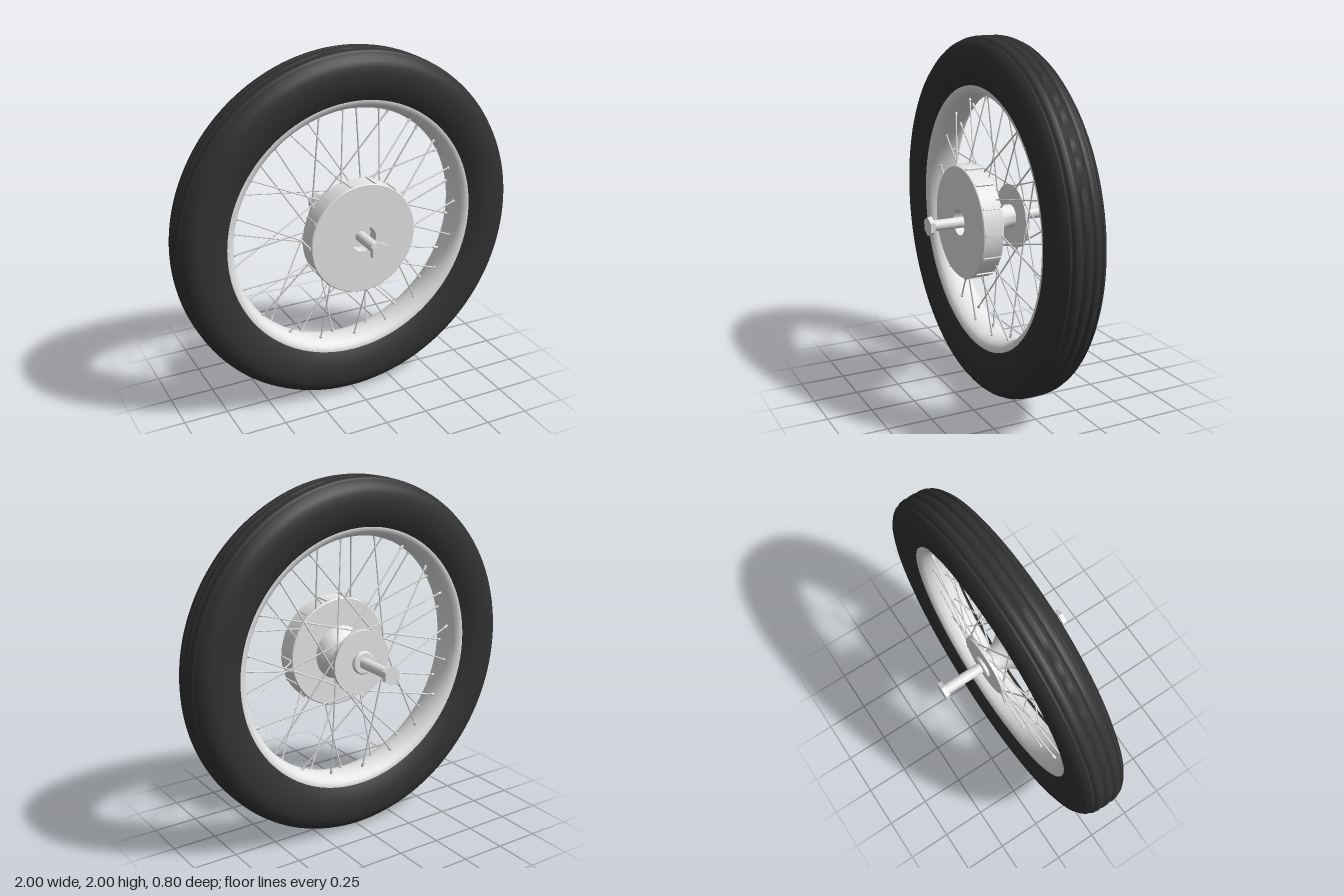
import * as THREE from 'three';
import { toCreasedNormals } from 'three/addons/utils/BufferGeometryUtils.js';

const mat = (name, color) => new THREE.MeshStandardMaterial({ name, color });

export function createModel() {
  const rubber = mat('blackRubber', 0x323232);
  const metal = mat('lightMetal', 0xe6e6e6);

  const wheel = new THREE.Group();
  wheel.name = 'wheel';
  wheel.position.y = 1;

  const add = (name, geometry, material, parent = wheel) => {
    const mesh = new THREE.Mesh(geometry, material);
    mesh.name = name;
    parent.add(mesh);
    return mesh;
  };
  // Turned part on the z axle; the profile is [radius, z], counterclockwise
  const turned = (name, profile, material, segments = 96, crease = 0.6) => {
    const points = profile.map(([r, z]) => new THREE.Vector2(r, z));
    const geometry = new THREE.LatheGeometry(points, segments).rotateX(Math.PI / 2);
    return add(name, toCreasedNormals(geometry, crease), material);
  };
  const polar = (r, a, z) => new THREE.Vector3(r * Math.cos(a), r * Math.sin(a), z);
  // Straight round bar between two points
  const bar = (name, a, b, radius, sides, parent) => {
    const geometry = new THREE.CylinderGeometry(radius, radius, a.distanceTo(b), sides);
    const mesh = add(name, geometry, metal, parent);
    mesh.position.copy(a).lerp(b, 0.5);
    mesh.quaternion.setFromUnitVectors(new THREE.Vector3(0, 1, 0), b.clone().sub(a).normalize());
  };

  // Tyre: half section with two soft tread grooves, mirrored in z
  const half = [
    [1, 0.012], [0.997, 0.018], [0.989, 0.025], [0.989, 0.031], [0.997, 0.038],
    [0.999, 0.045], [0.995, 0.068], [0.99, 0.074], [0.979, 0.08], [0.978, 0.086],
    [0.984, 0.093], [0.972, 0.108], [0.95, 0.126], [0.92, 0.137], [0.88, 0.141],
    [0.83, 0.138], [0.78, 0.124], [0.735, 0.1],
  ];
  const mirrored = half.map(([r, z]) => [r, -z]).reverse();
  turned('tyre', [...mirrored, ...half], rubber, 128, 1.1);

  // Rim: rounded hollow band, lowest in the middle
  const rimHalf = [[0.745, 0.1], [0.733, 0.102], [0.711, 0.094], [0.694, 0.075], [0.682, 0.042]];
  const rimBack = rimHalf.map(([r, z]) => [r, -z]).reverse();
  turned('rim', [[0.745, -0.1], ...rimHalf, [0.677, 0], ...rimBack], metal, 128, 0.7);

  // Brake drum with a recessed hole for the axle
  turned('brakeDrum', [
    [0, 0.095], [0.306, 0.095], [0.311, 0.1], [0.311, 0.21], [0.307, 0.214],
    [0.072, 0.214], [0.072, 0.15], [0, 0.15],
  ], metal);
  turned('frontBearing', [[0.058, 0.145], [0.058, 0.17], [0, 0.17]], metal, 32);
  const ribs = new THREE.Group();
  ribs.name = 'drumRibs';
  wheel.add(ribs);
  for (let i = 0; i < 14; i++) {
    const a = (i / 14) * Math.PI * 2;
    const rib = add('drumRib', new THREE.BoxGeometry(0.02, 0.014, 0.1), metal, ribs);
    rib.position.copy(polar(0.308, a, 0.154));
    rib.rotation.z = a;
  }

  // Hub barrel, spoke flange and bearing boss
  turned('hubBarrel', [
    [0.065, -0.11], [0.068, -0.06], [0.08, -0.02], [0.105, 0.015],
    [0.135, 0.04], [0.15, 0.07], [0.155, 0.1],
  ], metal, 48);
  turned('spokeFlange', [
    [0, -0.127], [0.18, -0.127], [0.18, -0.103], [0, -0.103],
  ], metal, 64);
  turned('bearingBoss', [
    [0, -0.147], [0.058, -0.147], [0.065, -0.142], [0.065, -0.12], [0, -0.12],
  ], metal, 32);

  // Axle with a hexagonal head at each end
  bar('axle', new THREE.Vector3(0, 0, -0.39), new THREE.Vector3(0, 0, 0.39), 0.03, 32, wheel);
  for (const side of [-1, 1]) {
    const hex = new THREE.CylinderGeometry(0.053, 0.053, 0.026, 6).rotateX(Math.PI / 2);
    add('axleHead', toCreasedNormals(hex, 0.4), metal).position.z = side * 0.387;
  }

  // Crossed spokes with nipples: from the drum in front, the flange behind
  const spokes = new THREE.Group();
  spokes.name = 'spokes';
  wheel.add(spokes);
  const rows = [
    { hubR: 0.3, hubZ: 0.11, rimZ: 0.03, swing: 0.25, turn: 0.05 },
    { hubR: 0.165, hubZ: -0.115, rimZ: -0.03, swing: 1.2, turn: 0.21 },
  ];
  for (const { hubR, hubZ, rimZ, swing, turn } of rows) {
    for (let i = 0; i < 20; i++) {
      const lean = i % 2 ? 1 : -1;
      const rimAngle = (i / 20) * Math.PI * 2 + turn;
      const inner = polar(hubR, rimAngle + lean * swing, hubZ + lean * 0.004);
      const outer = polar(0.688, rimAngle, rimZ);
      bar('spoke', inner, outer, 0.0045, 6, spokes);
      bar('nipple', inner.clone().lerp(outer, 0.95), outer, 0.008, 8, spokes);
    }
  }

  const model = new THREE.Group();
  model.name = 'spokedWheel';
  model.add(wheel);
  return model;
}
